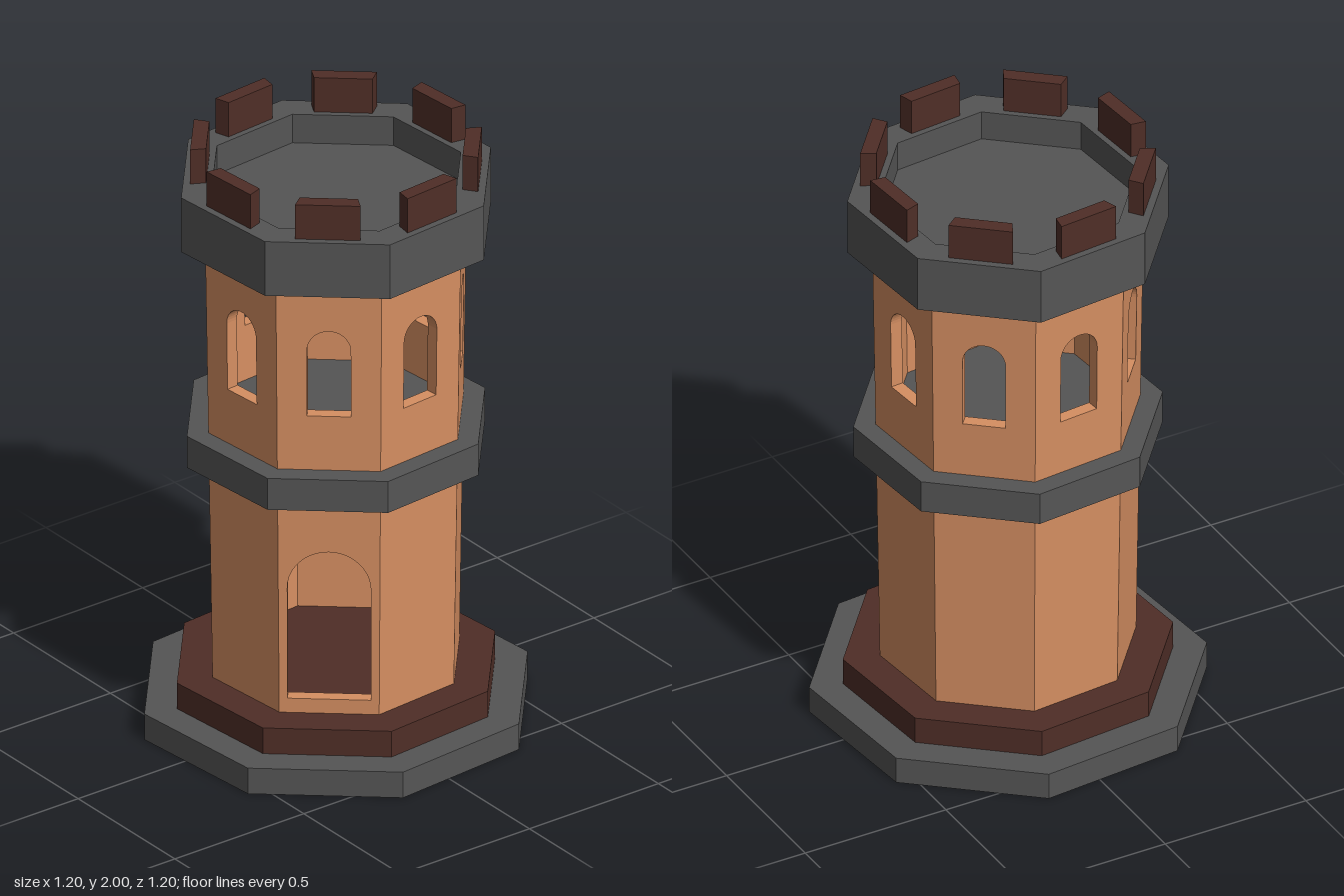
import * as THREE from 'three';

const EIGHTH = Math.PI / 4;
const TAN = Math.tan(Math.PI / 8);
const WALL = 0.042;

const material = (color) =>
  new THREE.MeshStandardMaterial({ color, flatShading: true, side: THREE.DoubleSide });

// Distance from the axis to the middle of a wall face; the tower flares slightly upward
const apothem = (y) => 0.375 + (0.022 * (y - 0.18)) / 1.51;

// Eight-sided turned part from [radius, height] pairs
function octagon(name, profile, mat) {
  const points = profile.map(([r, y]) => new THREE.Vector2(r, y));
  const mesh = new THREE.Mesh(new THREE.LatheGeometry(points, 8, Math.PI / 8), mat);
  mesh.name = name;
  return mesh;
}

// Round-headed opening
function archHole(half, bottom, top) {
  const hole = new THREE.Path();
  hole.moveTo(-half, bottom);
  hole.lineTo(half, bottom);
  hole.lineTo(half, top - half);
  hole.absarc(0, top - half, half, 0, Math.PI, false);
  hole.closePath();
  return hole;
}

// One flat wall panel, mitred at its sides and leaning with the flare
function wallPanel(y0, y1, hole) {
  const w = 0.16;
  const shape = new THREE.Shape([
    new THREE.Vector2(-w, y0), new THREE.Vector2(w, y0),
    new THREE.Vector2(w, y1), new THREE.Vector2(-w, y1),
  ]);
  if (hole) shape.holes.push(hole);
  const geo = new THREE.ExtrudeGeometry(shape, { depth: WALL, bevelEnabled: false, curveSegments: 10 });
  const p = geo.attributes.position;
  for (let i = 0; i < p.count; i++) {
    const z = apothem(p.getY(i)) - WALL + p.getZ(i);
    if (Math.abs(p.getX(i)) > 0.15) p.setX(i, Math.sign(p.getX(i)) * z * TAN);
    p.setZ(i, z);
  }
  geo.computeVertexNormals();
  return geo;
}

// Battlement block with radial ends
function merlonGeometry() {
  const geo = new THREE.BoxGeometry(0.2, 0.12, 0.049);
  geo.translate(0, 1.94, 0.423);
  const p = geo.attributes.position;
  for (let i = 0; i < p.count; i++) p.setX(i, Math.sign(p.getX(i)) * p.getZ(i) * 0.228);
  geo.computeVertexNormals();
  return geo;
}

// Repeat a part on each of the eight faces
function ring(name, partName, geometryFor, mat) {
  const group = new THREE.Group();
  group.name = name;
  for (let i = 0; i < 8; i++) {
    const mesh = new THREE.Mesh(geometryFor(i), mat);
    mesh.name = partName;
    mesh.rotation.y = i * EIGHTH;
    group.add(mesh);
  }
  return group;
}

export function createModel() {
  const stone = material(0x555555);
  const brick = material(0xd68f62);
  const wood = material(0x4f2e27);

  const tower = new THREE.Group();
  tower.name = 'tower';
  tower.rotation.y = THREE.MathUtils.degToRad(4.9);

  // Stepped base, open underneath
  tower.add(octagon('baseStep', [[0.63, 0], [0.63, 0.09], [0.523, 0.09]], stone));
  tower.add(octagon('plinth', [[0.523, 0.09], [0.523, 0.18], [0, 0.18]], wood));

  // Lower storey with a single doorway
  const plain = wallPanel(0.18, 0.95);
  const doorway = wallPanel(0.18, 0.95, archHole(0.13, 0.23, 0.75));
  tower.add(ring('lowerWalls', 'lowerWall', (i) => (i === 1 ? doorway : plain), brick));

  // Middle band, which is also the upper floor
  tower.add(octagon('middleBand', [[0, 0.93], [0.49, 0.93], [0.49, 1.04], [0, 1.04]], stone));

  // Upper storey with a window in every face
  const windowed = wallPanel(1.03, 1.69, archHole(0.068, 1.23, 1.53));
  tower.add(ring('upperWalls', 'windowWall', () => windowed, brick));

  // Parapet around the sunken roof deck
  tower.add(octagon('parapet', [
    [0, 1.77], [0.41, 1.77], [0.41, 1.69], [0.509, 1.69],
    [0.509, 1.88], [0.41, 1.88], [0.41, 1.78], [0, 1.78],
  ], stone));

  // Battlements
  const merlon = merlonGeometry();
  tower.add(ring('battlements', 'merlon', () => merlon, wood));

  const model = new THREE.Group();
  model.name = 'octagonalTower';
  model.add(tower);
  return model;
}
